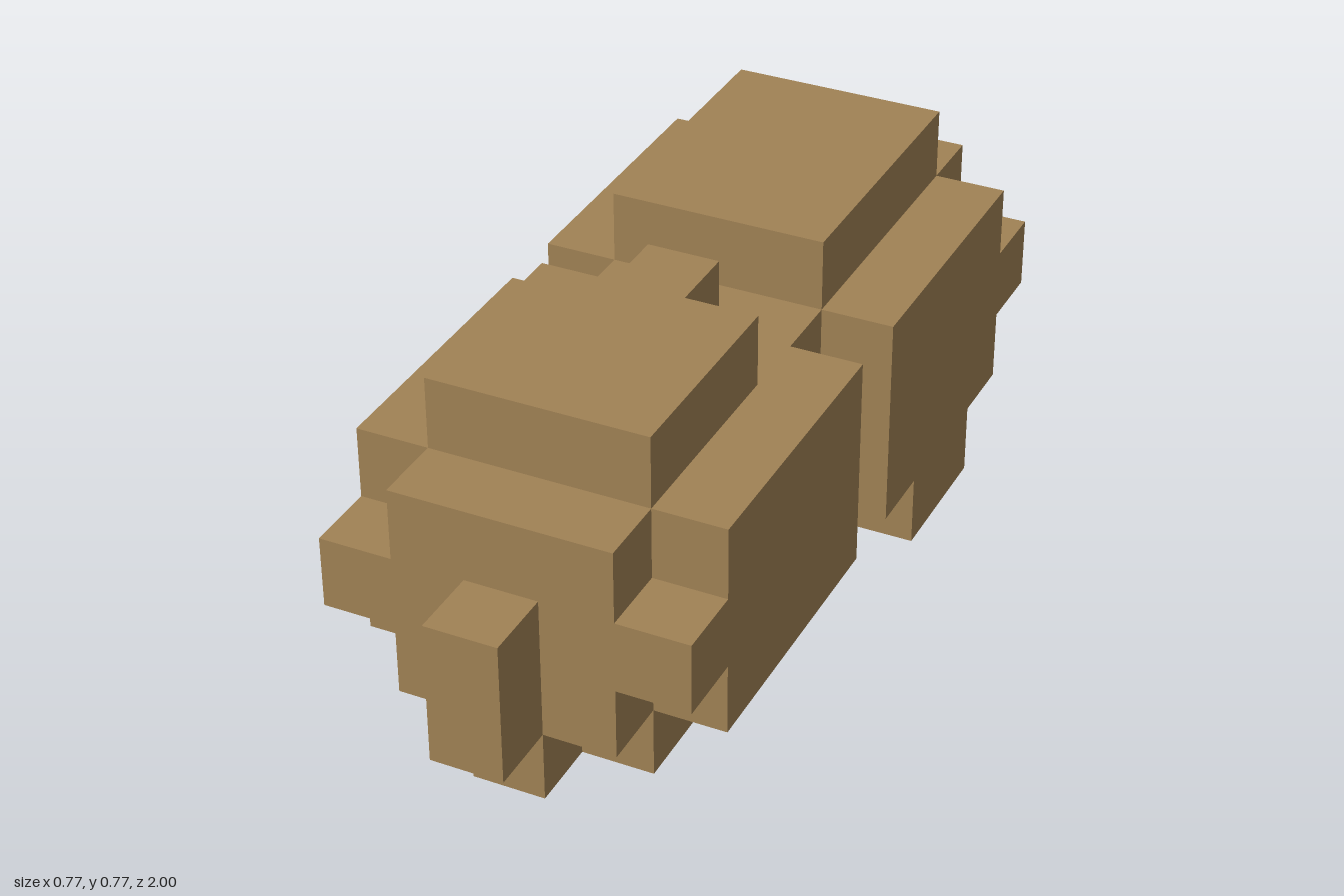
import * as THREE from 'three';

// One block of the 5 x 5 x 13 grid
const U = 2 / 13;

export function createModel() {
  const group = new THREE.Group();
  group.name = 'blockyBody';
  const tan = new THREE.MeshStandardMaterial({ color: 0xa18255 });
  tan.name = 'tan';

  // Box spanning grid lines [from, to] on each axis
  function block(name, [x0, x1], [y0, y1], [z0, z1]) {
    const geo = new THREE.BoxGeometry((x1 - x0) * U, (y1 - y0) * U, (z1 - z0) * U);
    const mesh = new THREE.Mesh(geo, tan);
    mesh.name = name;
    mesh.position.set(((x0 + x1) / 2 - 2.5) * U, ((y0 + y1) / 2) * U, ((z0 + z1) / 2 - 6.5) * U);
    group.add(mesh);
  }

  // Same box on both sides of the body
  function sidePair(name, y, z) {
    block(name + 'Left', [4, 5], y, z);
    block(name + 'Right', [0, 1], y, z);
  }

  const wide = [1, 4];
  const narrow = [2, 3];

  // Central trunk running the whole length
  block('trunk', wide, [1, 4], [1, 12]);

  // Underside, pinched at the waist and at both ends
  block('rearBelly', wide, [0, 1], [2, 6]);
  block('frontBelly', wide, [0, 1], [7, 11]);
  block('waistBelly', narrow, [0, 1], [6, 7]);
  block('rearChin', narrow, [0, 1], [1, 2]);
  block('frontChin', narrow, [0, 1], [11, 12]);

  // Side panels with a gap at the waist, corner stubs and feet
  sidePair('rearSide', [1, 4], [2, 6]);
  sidePair('frontSide', [1, 4], [7, 11]);
  sidePair('rearStub', [2, 3], [1, 2]);
  sidePair('frontStub', [2, 3], [11, 12]);
  sidePair('rearFoot', [0, 1], [3, 5]);

  // Raised tops; the front one has a tab towards the waist
  block('rearTop', wide, [4, 5], [2, 6]);
  block('frontTop', wide, [4, 5], [8, 11]);
  block('frontTopTab', narrow, [4, 5], [7, 8]);

  // Upright bars on the end faces
  block('rearBar', narrow, [1, 3], [0, 1]);
  block('frontBar', narrow, [1, 3], [12, 13]);

  return group;
}
